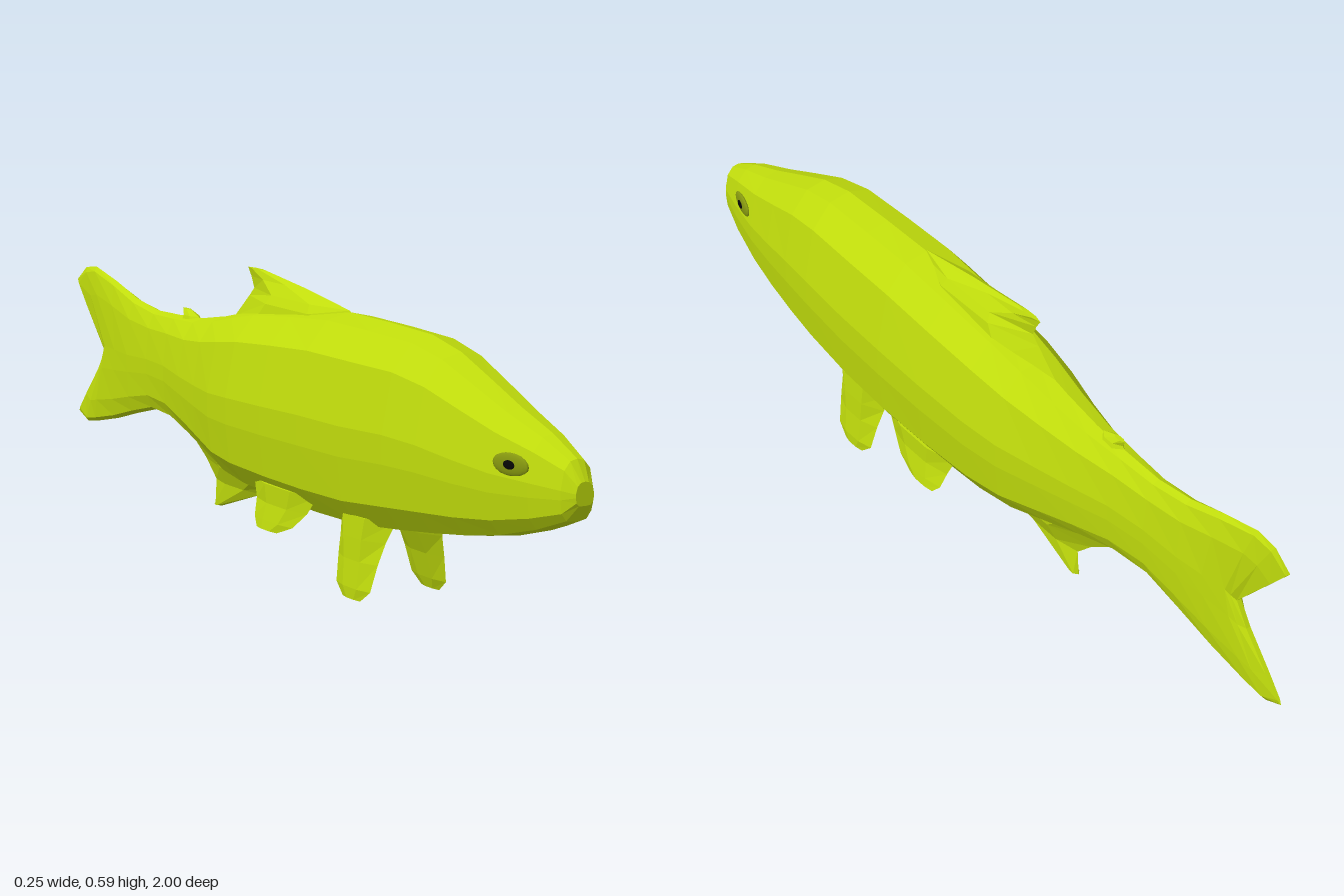
import * as THREE from 'three';

const skin = new THREE.MeshStandardMaterial({ color: 0xc0dc0c, flatShading: true });
const eyePatch = new THREE.MeshStandardMaterial({ color: 0x87990f });
const pupilBlack = new THREE.MeshStandardMaterial({ color: 0x050505 });

// Skins a row of equal-sized closed rings and closes both ends.
function loft(name, rings) {
  const n = rings[0].length, last = (rings.length - 1) * n, index = [];
  const quad = (a, b, c, d) => index.push(a, b, c, a, c, d);
  for (let j = 0; j < rings.length - 1; j++) {
    for (let i = 0; i < n; i++) {
      const a = j * n + i, b = j * n + (i + 1) % n;
      quad(a, b, b + n, a + n);
    }
  }
  for (let i = 0; i < n / 2; i++) {
    const l = (n - i) % n, l1 = n - i - 1;
    quad(l, l1, i + 1, i);
    quad(last + i, last + i + 1, last + l1, last + l);
  }
  const geo = new THREE.BufferGeometry();
  geo.setAttribute('position', new THREE.Float32BufferAttribute(rings.flat(2), 3));
  geo.setIndex(index);
  geo.computeVertexNormals();
  const mesh = new THREE.Mesh(geo, skin);
  mesh.name = name;
  return mesh;
}

// Half cross-section: share of half width, share of height, from back to belly.
const SECTION = [[0, 1], [0.42, 0.97], [0.8, 0.83], [1, 0.52], [1, 0.37], [0.92, 0.15], [0.62, 0.025], [0, 0]];

// One body ring; notch pulls the middle forward to fork the tail.
function bodyRing([z, bottom, top, half, notch = 0]) {
  const side = SECTION.map(([u, v]) => [
    u * half, bottom + v * (top - bottom), z + notch * (1 - Math.abs(2 * v - 1)),
  ]);
  const mirrored = side.slice(1, -1).reverse().map(([x, y, zz]) => [-x, y, zz]);
  return [...side, ...mirrored];
}

// Fin from horizontal slices, listed from top to bottom: y, x, front z, back z, half thickness.
function fin(name, slices, side = 1) {
  return loft(name, slices.map(([y, cx, front, back, t]) => {
    const x = cx * side, f = front + (back - front) * 0.3, b = front + (back - front) * 0.7;
    return [[x, y, front], [x - t, y, f], [x - t, y, b], [x, y, back], [x + t, y, b], [x + t, y, f]];
  }));
}

function eye(side) {
  const group = new THREE.Group();
  group.name = side > 0 ? 'leftEye' : 'rightEye';
  const ball = new THREE.SphereGeometry(1, 16, 10);
  const patch = new THREE.Mesh(ball, eyePatch);
  patch.name = 'eyePatch';
  patch.scale.set(0.006, 0.022, 0.045);
  const pupil = new THREE.Mesh(ball, pupilBlack);
  pupil.name = 'pupil';
  pupil.scale.set(0.005, 0.009, 0.015);
  pupil.position.set(side * 0.004, 0, 0);
  group.add(patch, pupil);
  group.position.set(side * 0.062, 0.353, 0.855);
  group.rotation.y = -side * 0.22;
  return group;
}

export function createModel() {
  const fish = new THREE.Group();
  fish.name = 'fish';

  // Body with forked tail: z, bottom, top, half width, notch
  fish.add(loft('body', [
    [1, 0.295, 0.34, 0.02], [0.975, 0.262, 0.378, 0.036], [0.9, 0.232, 0.412, 0.056],
    [0.8, 0.203, 0.445, 0.076], [0.7, 0.183, 0.483, 0.092], [0.6, 0.168, 0.52, 0.106],
    [0.5, 0.155, 0.54, 0.116], [0.35, 0.138, 0.544, 0.122], [0.2, 0.135, 0.545, 0.126],
    [0.05, 0.137, 0.532, 0.124], [-0.1, 0.142, 0.515, 0.117], [-0.2, 0.152, 0.495, 0.104],
    [-0.3, 0.175, 0.472, 0.082], [-0.4, 0.2, 0.455, 0.063], [-0.5, 0.222, 0.449, 0.046],
    [-0.6, 0.225, 0.446, 0.035], [-0.7, 0.2, 0.46, 0.03], [-0.8, 0.172, 0.488, 0.024, 0.03],
    [-0.9, 0.15, 0.51, 0.017, 0.07], [-0.95, 0.142, 0.503, 0.012, 0.11], [-0.995, 0.16, 0.47, 0.005, 0.145],
  ].map(bodyRing)));

  // Fins on the centre line
  fish.add(fin('dorsalFin', [
    [0.59, 0, -0.13, -0.205, 0.005], [0.572, 0, 0.03, -0.192, 0.011],
    [0.548, 0, 0.2, -0.18, 0.026], [0.53, 0, 0.22, -0.2, 0.036], [0.48, 0, 0.22, -0.26, 0.045],
  ]));
  fish.add(fin('adiposeFin', [
    [0.467, 0, -0.455, -0.49, 0.005], [0.455, 0, -0.42, -0.485, 0.012], [0.435, 0, -0.4, -0.5, 0.018],
  ]));
  fish.add(fin('analFin', [
    [0.22, 0, -0.06, -0.5, 0.04], [0.15, 0, -0.02, -0.39, 0.03],
    [0.11, 0, -0.15, -0.345, 0.012], [0.055, 0, -0.32, -0.35, 0.008],
  ]));

  // Paired fins and eyes
  for (const side of [1, -1]) {
    const label = side > 0 ? 'left' : 'right';
    fish.add(fin(label + 'PectoralFin', [
      [0.17, 0.055, 0.46, 0.26, 0.035], [0.125, 0.066, 0.44, 0.275, 0.026],
      [0.08, 0.078, 0.43, 0.285, 0.015], [0.025, 0.089, 0.42, 0.295, 0.009], [0.002, 0.093, 0.39, 0.325, 0.004],
    ], side));
    fish.add(fin(label + 'PelvicFin', [
      [0.18, 0.088, 0.22, -0.03, 0.02], [0.14, 0.094, 0.19, -0.01, 0.013],
      [0.105, 0.105, 0.15, 0, 0.008], [0.086, 0.112, 0.1, 0.02, 0.004],
    ], side));
    fish.add(eye(side));
  }
  return fish;
}
